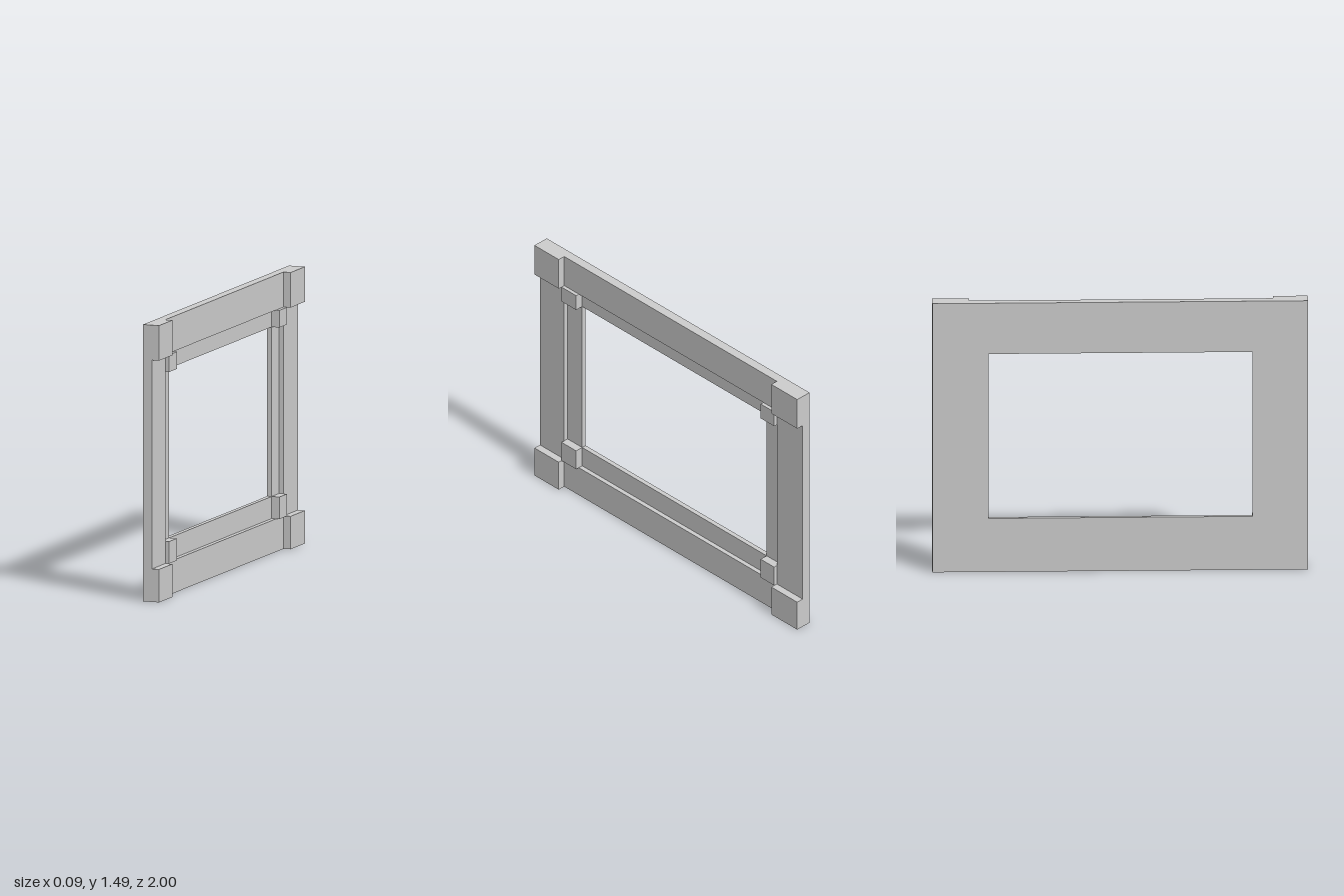
import * as THREE from 'three';

const material = new THREE.MeshStandardMaterial({ color: 0xcccccc, flatShading: true });

// Depth levels of the relief along x
const BACK = -0.046, INNER = -0.02, RAIL = 0.005, BOSS = 0.025, CORNER = 0.046;

// Rectangles in the frame's plane: z0..z1, y0..y1
const outer = { z0: -1, z1: 1, y0: 0, y1: 1.494 };
const step = { z0: -0.803, z1: 0.815, y0: 0.178, y1: 1.305 };
const opening = { z0: -0.7, z1: 0.704, y0: 0.297, y1: 1.212 };

function trace(path, r) {
  path.moveTo(-r.z1, r.y0);
  path.lineTo(-r.z0, r.y0);
  path.lineTo(-r.z0, r.y1);
  path.lineTo(-r.z1, r.y1);
  path.closePath();
  return path;
}

// Rectangular ring extruded from x0 to x1
function ring(name, rim, hole, x0, x1) {
  const shape = trace(new THREE.Shape(), rim);
  shape.holes.push(trace(new THREE.Path(), hole));
  const geometry = new THREE.ExtrudeGeometry(shape, { depth: x1 - x0, bevelEnabled: false });
  geometry.translate(0, 0, x0);
  geometry.rotateY(Math.PI / 2);
  const mesh = new THREE.Mesh(geometry, material);
  mesh.name = name;
  return mesh;
}

// Four blocks filling the corners between two rectangles
function cornerBlocks(name, rim, hole, x0, x1) {
  const group = new THREE.Group();
  group.name = name;
  for (const [za, zb] of [[rim.z0, hole.z0], [hole.z1, rim.z1]]) {
    for (const [ya, yb] of [[rim.y0, hole.y0], [hole.y1, rim.y1]]) {
      const block = new THREE.Mesh(new THREE.BoxGeometry(x1 - x0, yb - ya, zb - za), material);
      block.position.set((x0 + x1) / 2, (ya + yb) / 2, (za + zb) / 2);
      block.name = name.slice(0, -1);
      group.add(block);
    }
  }
  return group;
}

export function createModel() {
  const model = new THREE.Group();
  model.name = 'windowFrame';
  model.add(
    ring('backFrame', outer, opening, BACK, INNER),
    ring('outerRails', outer, step, INNER, RAIL),
    cornerBlocks('outerCornerBlocks', outer, step, RAIL, CORNER),
    cornerBlocks('innerCornerBlocks', step, opening, INNER, BOSS),
  );
  return model;
}
